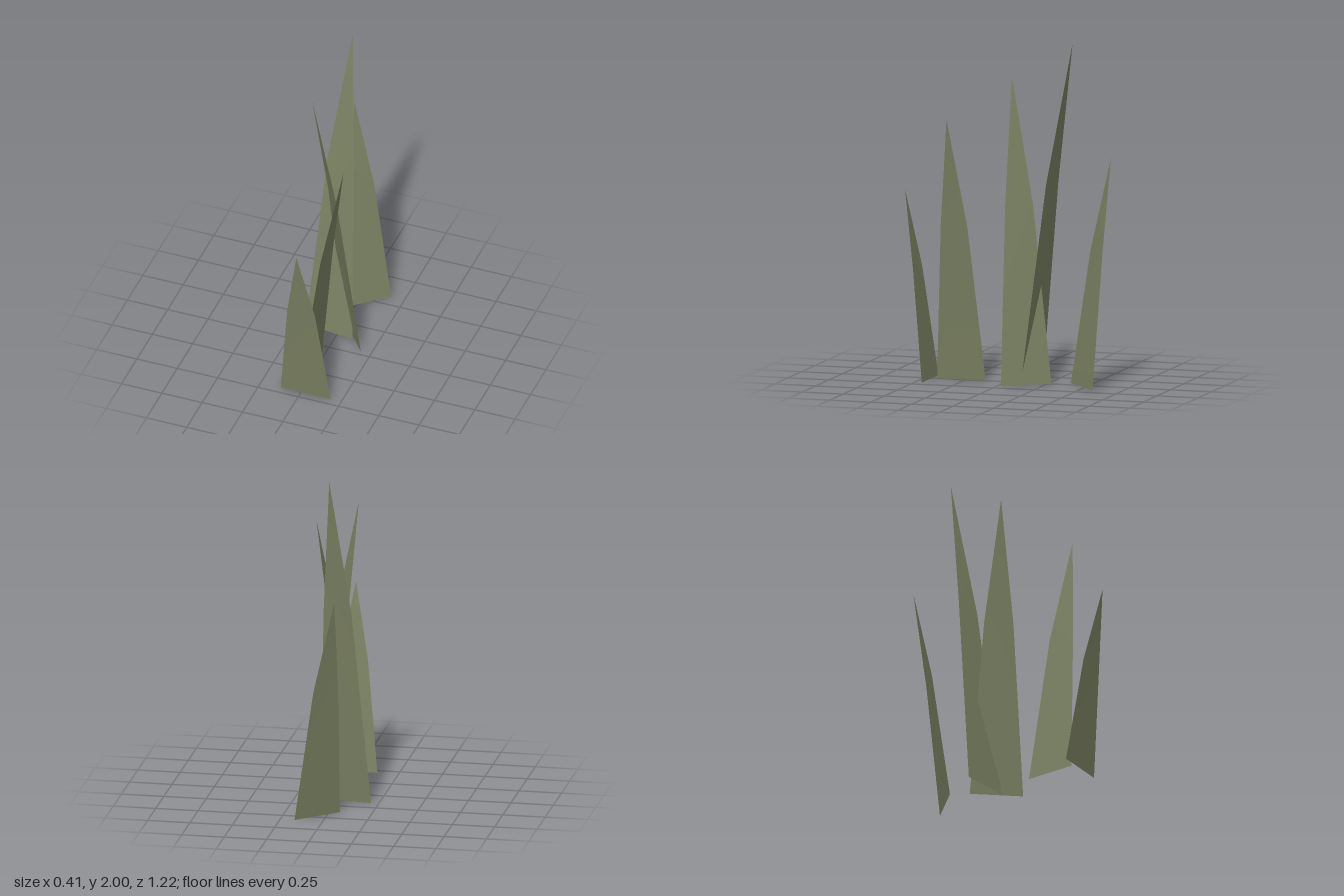
import * as THREE from 'three';

// Each blade: two root corners [x, z] and the tip [x, y, z]
const BLADES = [
  { name: 'frontBlade', a: [-0.125, 0.455], b: [0.185, 0.455], tip: [0.03, 1.105, 0.608] },
  { name: 'leftLeaningBlade', a: [-0.025, 0.43], b: [0.002, 0.125], tip: [0.204, 1.55, 0.298] },
  { name: 'middleBlade', a: [0.187, -0.028], b: [-0.005, -0.273], tip: [-0.103, 1.775, 0.0] },
  { name: 'tallBlade', a: [-0.205, -0.157], b: [0.1, -0.12], tip: [-0.005, 2.0, -0.402] },
  { name: 'backBlade', a: [0.165, -0.58], b: [-0.062, -0.373], tip: [-0.075, 1.33, -0.613] },
];

// Proportions of the bend partway up every blade
const MID_HEIGHT = 0.587, MID_LEAN = 0.5, MID_WIDTH = 0.55;

function bladeGeometry({ a, b, tip }) {
  const cx = (a[0] + b[0]) / 2, cz = (a[1] + b[1]) / 2;
  const mid = ([x, z]) => [
    cx + (tip[0] - cx) * MID_LEAN + (x - cx) * MID_WIDTH,
    tip[1] * MID_HEIGHT,
    cz + (tip[2] - cz) * MID_LEAN + (z - cz) * MID_WIDTH,
  ];
  const points = [[a[0], 0, a[1]], [b[0], 0, b[1]], mid(a), mid(b), tip];
  const geometry = new THREE.BufferGeometry();
  geometry.setAttribute('position', new THREE.Float32BufferAttribute(points.flat(), 3));
  geometry.setIndex([0, 1, 3, 0, 3, 2, 2, 3, 4]);
  geometry.computeVertexNormals();
  return geometry;
}

export function createModel() {
  const group = new THREE.Group();
  group.name = 'grassTuft';
  const material = new THREE.MeshStandardMaterial({ color: 0x7b8263, side: THREE.DoubleSide });
  for (const blade of BLADES) {
    const mesh = new THREE.Mesh(bladeGeometry(blade), material);
    mesh.name = blade.name;
    group.add(mesh);
  }
  return group;
}
